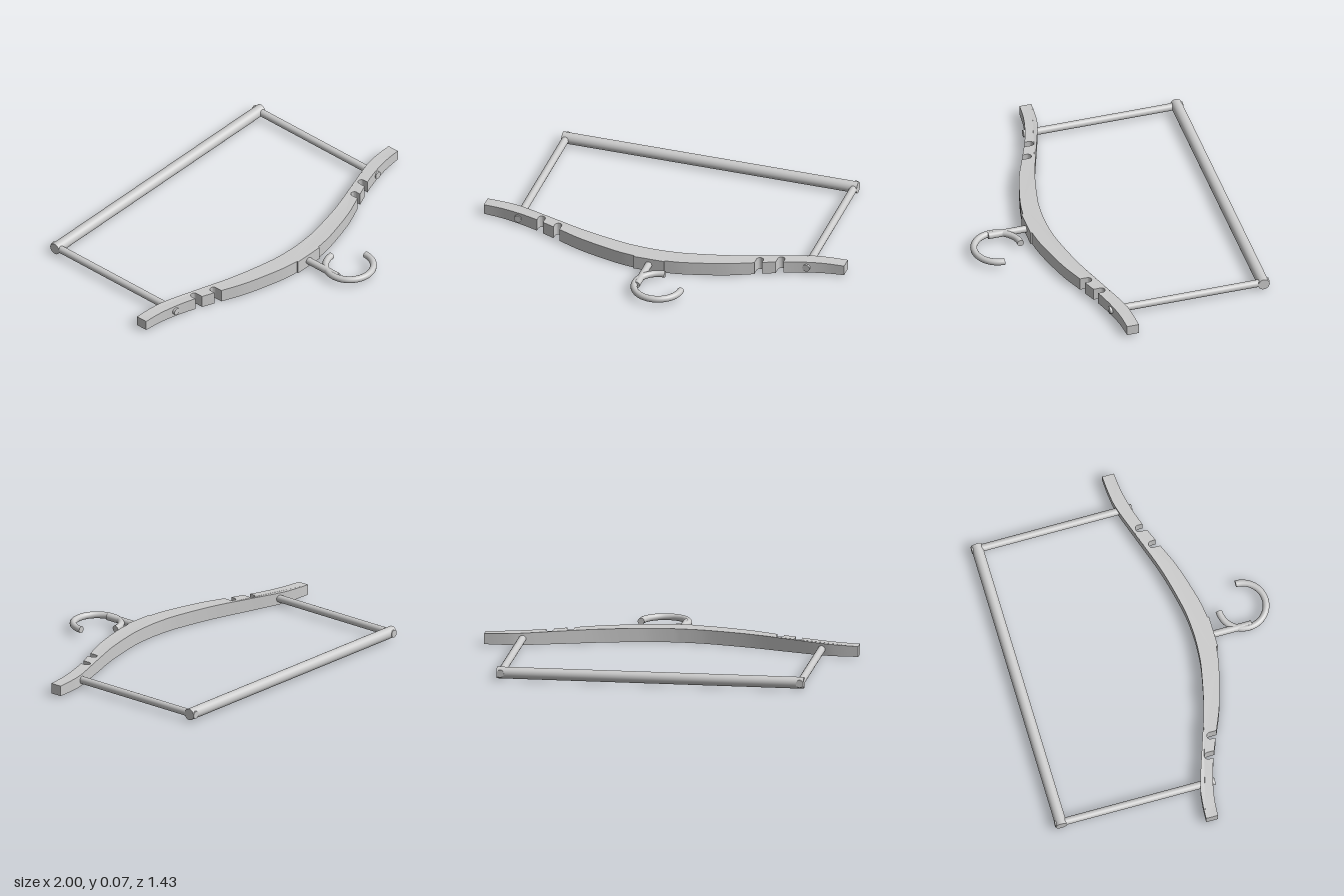
import * as THREE from 'three';
import { toCreasedNormals } from 'three/addons/utils/BufferGeometryUtils.js';

const MID = 0.041; // height of the centre plane
const material = new THREE.MeshStandardMaterial({ color: 0xcccccc, side: THREE.DoubleSide });

function addMesh(parent, name, geometry) {
  const mesh = new THREE.Mesh(geometry, material);
  mesh.name = name;
  parent.add(mesh);
  return mesh;
}

// smooth plan curve for x from 0 to 1, as [x, z]
const planCurve = (pts) => new THREE.SplineCurve(pts.map(([x, z]) => new THREE.Vector2(x, z)));

function armGeometry() {
  const back = planCurve([[0, 0.278], [0.1, 0.273], [0.2, 0.259], [0.4, 0.213], [0.6, 0.147],
    [0.8, 0.08], [0.9, 0.062], [1, 0.055]]).getPoints(28);
  const frontCurve = planCurve([[0.085, 0.373], [0.2, 0.355], [0.4, 0.3], [0.542, 0.243], [0.69, 0.184],
    [0.8, 0.15], [0.9, 0.129], [1, 0.12]]).getPoints(28);

  // strap notches: round-ended slots cut into the front edge
  const notches = [{ x: 0.56, tip: 0.185 }, { x: 0.665, tip: 0.142 }];
  const r = 0.019;
  const frontZ = (x) => {
    const i = Math.max(1, frontCurve.findIndex((p) => p.x >= x));
    const a = frontCurve[i - 1], b = frontCurve[i];
    return a.y + (b.y - a.y) * (x - a.x) / (b.x - a.x);
  };
  let front = frontCurve.filter((p) => notches.every((n) => Math.abs(p.x - n.x) > r + 0.002));
  for (const n of notches) {
    const slot = [new THREE.Vector2(n.x - r, frontZ(n.x - r))];
    for (let i = 0; i <= 8; i++) {
      const a = Math.PI * i / 8;
      slot.push(new THREE.Vector2(n.x - r * Math.cos(a), n.tip + r - r * Math.sin(a)));
    }
    slot.push(new THREE.Vector2(n.x + r, frontZ(n.x + r)));
    const at = front.findIndex((p) => p.x > n.x);
    front.splice(at, 0, ...slot);
  }
  // flat pad for the hook
  front = [new THREE.Vector2(0.085, 0.381), ...front];

  const mirror = (pts) => pts.map((p) => new THREE.Vector2(-p.x, p.y));
  const outline = [
    ...back, ...front.slice().reverse(),
    ...mirror(front), ...mirror(back.slice(1)).reverse(),
  ];
  const geo = new THREE.ExtrudeGeometry(new THREE.Shape(outline), { depth: 2, bevelEnabled: false });
  geo.translate(0, 0, -1).rotateX(Math.PI / 2);

  // thickness tapers towards the tips
  const pos = geo.attributes.position;
  for (let i = 0; i < pos.count; i++) {
    const t = THREE.MathUtils.clamp((Math.abs(pos.getX(i)) - 0.25) / 0.75, 0, 1);
    pos.setY(i, MID + pos.getY(i) * (0.037 - 0.009 * t * t));
  }
  return toCreasedNormals(geo, 0.5);
}

export function createModel() {
  const hanger = new THREE.Group();
  hanger.name = 'clothesHanger';

  addMesh(hanger, 'shoulderArm', armGeometry());

  // trouser bar and its two side rods
  addMesh(hanger, 'trouserBar', new THREE.CylinderGeometry(0.031, 0.031, 1.64, 32).rotateZ(Math.PI / 2))
    .position.set(0, MID, -0.688);
  for (const [side, name] of [[1, 'leftRod'], [-1, 'rightRod']]) {
    addMesh(hanger, name, new THREE.CylinderGeometry(0.02, 0.02, 0.88, 24).rotateX(Math.PI / 2))
      .position.set(side * 0.8, MID, -0.28);
  }

  // hook: straight stem and a three-quarter ring with flat ends
  const hook = new THREE.Group();
  hook.name = 'hook';
  hanger.add(hook);
  addMesh(hook, 'hookStem', new THREE.CylinderGeometry(0.019, 0.019, 0.235, 24).rotateX(Math.PI / 2))
    .position.set(-0.003, MID, 0.4725);
  const R = 0.127, tube = 0.018;
  const ring = addMesh(hook, 'hookRing', new THREE.TorusGeometry(R, tube, 16, 48, Math.PI * 1.5).rotateX(Math.PI / 2));
  ring.position.set(0.11, MID, 0.57);
  addMesh(hook, 'hookTip', new THREE.CircleGeometry(tube, 16)).position.set(0.11 + R, MID, 0.57);
  addMesh(hook, 'hookInnerEnd', new THREE.CircleGeometry(tube, 16).rotateY(Math.PI / 2))
    .position.set(0.11, MID, 0.57 - R);

  return hanger;
}
